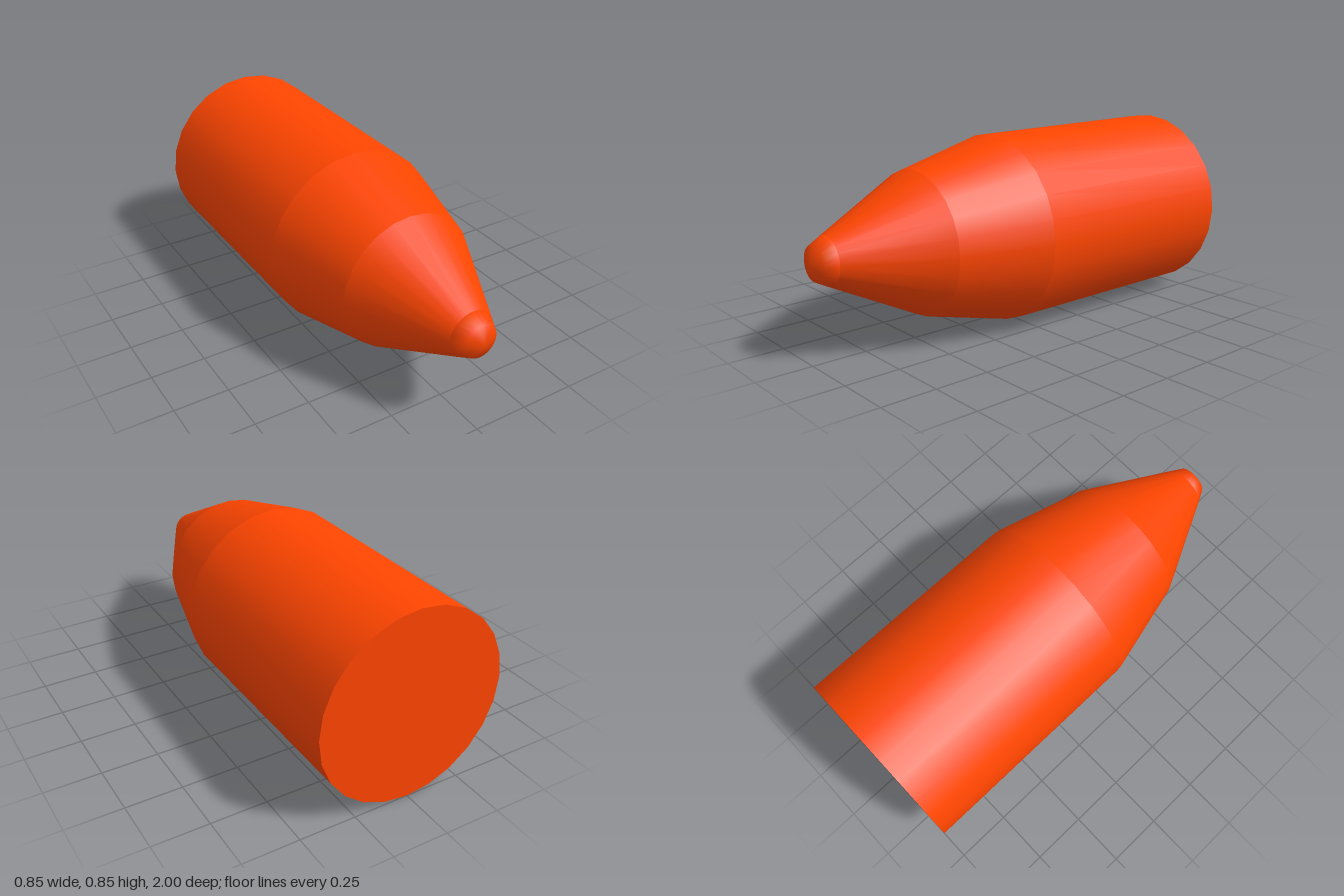
import * as THREE from 'three';

export function createModel() {
  const model = new THREE.Group();
  model.name = 'pointedBody';
  const material = new THREE.MeshStandardMaterial({ color: 0xff4500 });
  const R = 2 / 4.7; // body radius; all lengths are multiples of it
  const SIDES = 24;

  function add(name, geometry, z) {
    geometry.rotateX(Math.PI / 2); // lay the axis along +z
    const mesh = new THREE.Mesh(geometry, material);
    mesh.name = name;
    mesh.position.set(0, R * Math.cos(0), z);
    model.add(mesh);
  }

  // Straight body and two tapering nose sections: back radius, front radius, length
  const sections = [
    ['body', 1, 1, 2.5],
    ['rearTaper', 1, 0.75, 1],
    ['frontTaper', 0.75, 0.25, 1],
  ];
  let z = -1;
  for (const [name, back, front, length] of sections) {
    const len = length * R;
    add(name, new THREE.CylinderGeometry(front * R, back * R, len, SIDES, 1, true), z + len / 2);
    z += len;
  }

  // Flat closing disc at the back
  const disc = new THREE.CircleGeometry(R, SIDES);
  disc.rotateX(Math.PI / 2);
  add('backCap', disc, -1);

  // Softly shaded tip: a dome of a single ring of facets
  const tip = new THREE.SphereGeometry(0.25 * R, SIDES, 1, 0, Math.PI * 2, 0, Math.PI / 2);
  tip.scale(1, 0.8, 1);
  add('tip', tip, z);

  return model;
}
